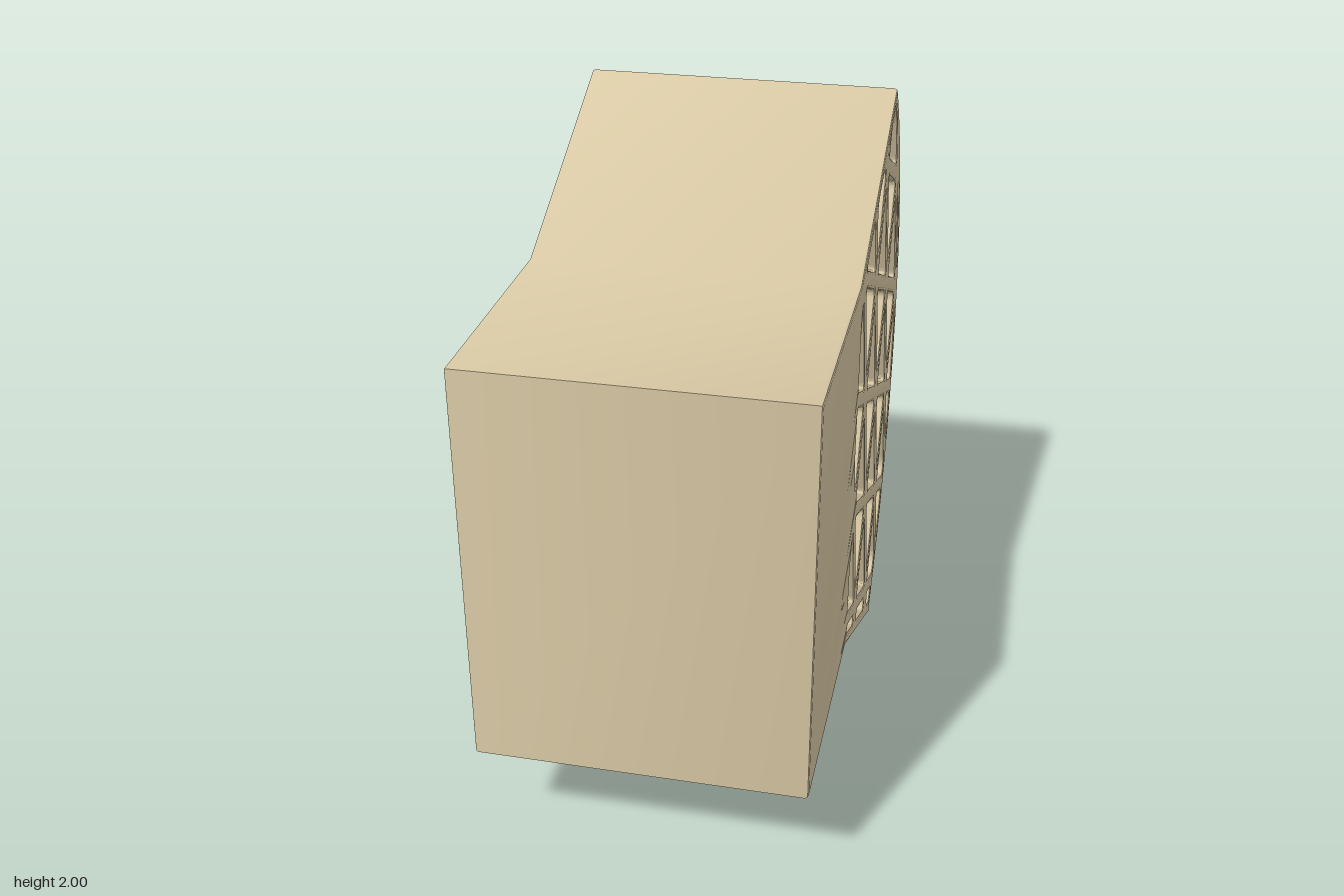
import * as THREE from 'three';
import { toCreasedNormals } from 'three/addons/utils/BufferGeometryUtils.js';

// Side profile is drawn in (s, y) with s = -z, then extruded across the width.
const WIDTH = 1.0, BEVEL = 0.01;
const V = (x, y) => new THREE.Vector2(x, y);
const ARC = { c: V(-0.5, 1), r: 1.447, a: Math.atan2(1, 1.047) };

// Half-plane to the left of p->q, moved inward by inset
function edge(p, q, inset) {
  const n = V(p.y - q.y, q.x - p.x).normalize();
  return { n, d: n.dot(p) + inset };
}

// Keep the part of a convex polygon inside a half-plane
function clip(poly, { n, d }) {
  const out = [];
  poly.forEach((a, i) => {
    const b = poly[(i + 1) % poly.length];
    const da = n.dot(a) - d, db = n.dot(b) - d;
    if (da >= 0) out.push(a);
    if (da * db < 0) out.push(a.clone().lerp(b, da / (da - db)));
  });
  return out;
}

// Closed path with softened corners
function roundedPath(poly, radius) {
  const path = new THREE.Path();
  poly.forEach((p, i) => {
    const prev = poly[(i + poly.length - 1) % poly.length];
    const next = poly[(i + 1) % poly.length];
    const toward = (q) => p.clone().lerp(q, Math.min(0.45, radius / p.distanceTo(q)));
    const a = toward(prev), b = toward(next);
    if (i === 0) path.moveTo(a.x, a.y);
    else path.lineTo(a.x, a.y);
    path.quadraticCurveTo(p.x, p.y, b.x, b.y);
  });
  path.closePath();
  return path;
}

// Triangular cells, clipped to the flared zone behind the solid block
function latticeHoles() {
  const origin = V(0.38, 1.005), u = V(0.329, -0.148), v = V(0.159, 0.329);
  const node = (i, j) => origin.clone().addScaledVector(u, i).addScaledVector(v, j);
  const zone = [
    edge(V(-0.16, 2), V(-0.16, 0), 0),
    edge(V(-0.2, 0.37), V(0.547, 0), 0.038),
    edge(V(0.547, 2), V(-0.2, 1.63), 0.038),
  ];
  for (let k = -12; k <= 12; k++) {
    const t = (k / 12) * ARC.a;
    const n = V(-Math.cos(t), -Math.sin(t));
    zone.push({ n, d: n.dot(ARC.c) - ARC.r + 0.043 });
  }
  const holes = [];
  for (let i = -5; i <= 5; i++) {
    for (let j = -5; j <= 5; j++) {
      const [a, b, c, d] = [node(i, j), node(i + 1, j), node(i + 1, j + 1), node(i, j + 1)];
      for (const tri of [[a, b, d], [b, c, d]]) {
        const sides = tri.map((p, k) => edge(p, tri[(k + 1) % 3], 0.027));
        let poly = [...sides, ...zone].reduce(clip, tri);
        poly = poly.filter((p, k) => p.distanceTo(poly[(k + 1) % poly.length]) > 0.012);
        if (poly.length > 2 && Math.abs(THREE.ShapeUtils.area(poly)) > 0.0015) {
          holes.push(roundedPath(poly, 0.03));
        }
      }
    }
  }
  return holes;
}

export function createModel() {
  const group = new THREE.Group();
  group.name = 'latticeBlock';

  // Solid front block, flaring to a curved back
  const shape = new THREE.Shape();
  shape.moveTo(-0.95, 0.37);
  shape.lineTo(-0.2, 0.37);
  shape.lineTo(0.547, 0);
  shape.absarc(ARC.c.x, ARC.c.y, ARC.r, -ARC.a, ARC.a, false);
  shape.lineTo(-0.2, 1.64);
  shape.lineTo(-0.95, 1.64);
  shape.closePath();
  shape.holes.push(...latticeHoles());

  const geometry = new THREE.ExtrudeGeometry(shape, {
    depth: WIDTH - 2 * BEVEL,
    curveSegments: 8,
    bevelThickness: BEVEL,
    bevelSize: BEVEL,
    bevelOffset: -BEVEL,
    bevelSegments: 2,
  });
  geometry.translate(0, 0, -WIDTH / 2 + BEVEL);
  geometry.rotateY(Math.PI / 2);

  const body = new THREE.Mesh(
    toCreasedNormals(geometry, 0.6),
    new THREE.MeshStandardMaterial({ color: 0xd8c8a4 })
  );
  body.name = 'blockWithLatticeBack';
  group.add(body);
  return group;
}
